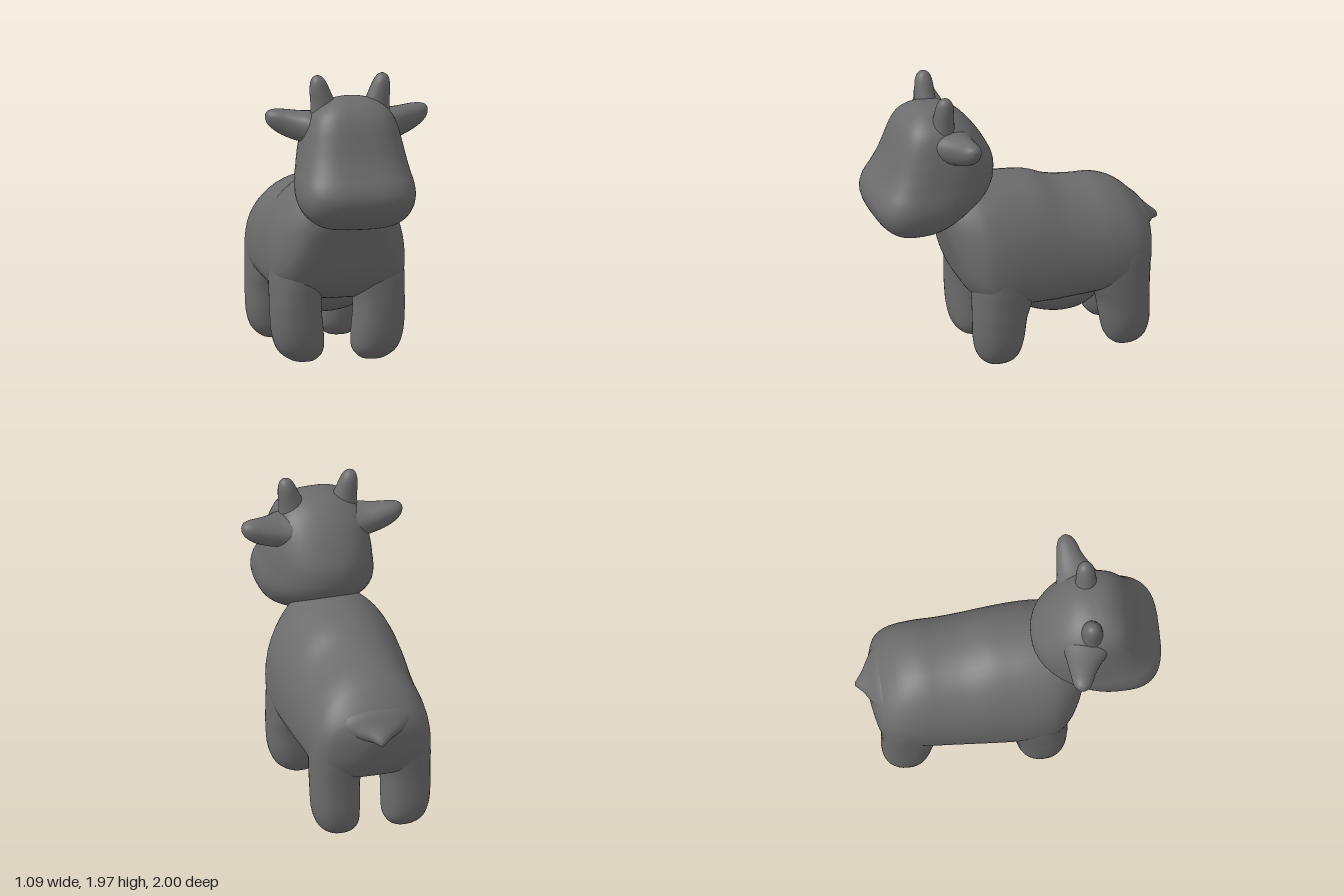
import * as THREE from 'three';

const material = new THREE.MeshStandardMaterial({ color: 0x6c6c6c });

// Smooth interpolation of one number between b and c
function blend(a, b, c, d, t) {
  return b + 0.5 * t * (c - a + t * (2 * a - 5 * b + 4 * c - d + t * (3 * (b - c) + d - a)));
}

// Closed smooth loft. Each row: [s, uLow, uMid, uHigh, vCentre, vHalfWidth].
// axes names the world axes of s, u and v; nLow / nHigh square off each half of the section.
function loft(name, axes, rows, { nLow = 2, nHigh = 2, side = 1, segs = 32, steps = 4 } = {}) {
  const rings = [];
  const last = rows.length - 1;
  for (let i = 0; i < last; i++) {
    const a = rows[Math.max(i - 1, 0)], b = rows[i], c = rows[i + 1], d = rows[Math.min(i + 2, last)];
    for (let k = 0; k < steps; k++) rings.push(b.map((_, j) => blend(a[j], b[j], c[j], d[j], k / steps)));
  }
  rings.push(rows[last]);

  const points = [];
  const put = (s, u, v) => {
    const p = new THREE.Vector3();
    p[axes[0]] = s; p[axes[1]] = u; p[axes[2]] = v;
    p.x *= side;
    points.push(p);
  };
  for (const [s, lo, mid, hi, vc, w] of rings) {
    for (let j = 0; j < segs; j++) {
      const angle = (j / segs) * Math.PI * 2;
      const sn = Math.sin(angle), cs = Math.cos(angle);
      const e = 2 / (sn < 0 ? nLow : nHigh);
      const u = Math.abs(sn) ** e;
      put(s, sn < 0 ? mid - (mid - lo) * u : mid + (hi - mid) * u, vc + w * Math.sign(cs) * Math.abs(cs) ** e);
    }
  }
  const faces = [];
  for (let i = 0; i < rings.length - 1; i++) {
    for (let j = 0; j < segs; j++) {
      const a = i * segs + j, b = i * segs + (j + 1) % segs;
      faces.push([a, b, b + segs], [a, b + segs, a + segs]);
    }
  }
  // Close both ends
  const first = rows[0], end = rows[last], tail = (rings.length - 1) * segs;
  put(first[0], first[2], first[4]);
  put(end[0], end[2], end[4]);
  for (let j = 0; j < segs; j++) {
    const k = (j + 1) % segs;
    faces.push([points.length - 2, k, j], [points.length - 1, tail + j, tail + k]);
  }
  // Turn the faces outward if the enclosed volume is negative
  const cross = new THREE.Vector3();
  const volume = faces.reduce((sum, [a, b, c]) => sum + points[a].dot(cross.crossVectors(points[b], points[c])), 0);
  if (volume < 0) faces.forEach((f) => f.reverse());

  const geometry = new THREE.BufferGeometry().setFromPoints(points);
  geometry.setIndex(faces.flat());
  geometry.computeVertexNormals();
  const mesh = new THREE.Mesh(geometry, material);
  mesh.name = name;
  return mesh;
}

export function createModel() {
  const model = new THREE.Group();
  model.name = 'calf';

  // Torso from rump to chest, with straight flanks
  model.add(loft('body', 'zyx', [
    [-0.925, 0.74, 0.77, 0.81, 0, 0.05],
    [-0.905, 0.62, 0.74, 0.85, 0, 0.15],
    [-0.875, 0.52, 0.7, 0.905, 0, 0.265],
    [-0.84, 0.46, 0.68, 0.95, 0, 0.335],
    [-0.78, 0.43, 0.67, 1.01, 0, 0.38],
    [-0.7, 0.41, 0.66, 1.07, 0, 0.4],
    [-0.58, 0.4, 0.65, 1.115, 0, 0.41],
    [-0.44, 0.395, 0.64, 1.125, 0, 0.415],
    [-0.28, 0.39, 0.64, 1.15, 0, 0.425],
    [-0.13, 0.39, 0.64, 1.21, 0, 0.435],
    [0.02, 0.395, 0.65, 1.23, 0, 0.445],
    [0.16, 0.41, 0.66, 1.24, 0, 0.447],
    [0.28, 0.45, 0.68, 1.24, 0, 0.432],
    [0.36, 0.51, 0.73, 1.23, 0, 0.382],
    [0.42, 0.63, 0.81, 1.21, 0, 0.32],
    [0.47, 0.81, 0.94, 1.17, 0, 0.24],
    [0.51, 0.95, 1.02, 1.1, 0, 0.13],
  ], { nLow: 2.9, nHigh: 2.1, segs: 48 }));

  // Rounded belly hanging below the flanks
  model.add(loft('belly', 'zyx', [
    [0.09, 0.41, 0.45, 0.48, 0, 0.06],
    [0.02, 0.33, 0.46, 0.6, 0, 0.22],
    [-0.13, 0.27, 0.46, 0.6, 0, 0.32],
    [-0.28, 0.245, 0.46, 0.6, 0, 0.345],
    [-0.42, 0.27, 0.46, 0.6, 0, 0.32],
    [-0.54, 0.34, 0.46, 0.6, 0, 0.22],
    [-0.61, 0.42, 0.45, 0.48, 0, 0.06],
  ], { segs: 40 }));

  // Head, broad at the muzzle and flat across the face
  model.add(loft('head', 'yzx', [
    [0.98, 0.66, 0.73, 0.8, 0, 0.12],
    [1.0, 0.53, 0.71, 0.87, 0, 0.24],
    [1.05, 0.42, 0.7, 0.935, 0, 0.32],
    [1.12, 0.32, 0.69, 0.98, 0, 0.367],
    [1.2, 0.22, 0.68, 1.0, 0, 0.385],
    [1.28, 0.168, 0.65, 0.98, 0, 0.38],
    [1.36, 0.153, 0.6, 0.935, 0, 0.362],
    [1.45, 0.163, 0.55, 0.89, 0, 0.345],
    [1.55, 0.21, 0.52, 0.853, 0, 0.325],
    [1.65, 0.275, 0.52, 0.817, 0, 0.298],
    [1.73, 0.345, 0.54, 0.775, 0, 0.255],
    [1.79, 0.42, 0.56, 0.715, 0, 0.18],
    [1.82, 0.49, 0.58, 0.66, 0, 0.1],
    [1.83, 0.55, 0.58, 0.61, 0, 0.03],
  ], { nLow: 2.2, nHigh: 3.2, segs: 48 }));

  // Short tail flowing out of a wide root
  model.add(loft('tail', 'zyx', [
    [-1.0, 0.755, 0.77, 0.785, 0, 0.012],
    [-0.985, 0.75, 0.78, 0.805, 0, 0.03],
    [-0.95, 0.755, 0.8, 0.835, 0, 0.075],
    [-0.91, 0.75, 0.82, 0.875, 0, 0.145],
    [-0.86, 0.74, 0.84, 0.935, 0, 0.22],
    [-0.8, 0.78, 0.88, 0.97, 0, 0.25],
  ]));

  for (const [label, side] of [['left', 1], ['right', -1]]) {
    model.add(loft(label + 'FrontLeg', 'yzx', [
      [0.005, 0.16, 0.19, 0.22, 0.23, 0.03],
      [0.02, 0.11, 0.19, 0.27, 0.233, 0.085],
      [0.08, 0.055, 0.19, 0.325, 0.248, 0.148],
      [0.19, 0.025, 0.19, 0.352, 0.267, 0.17],
      [0.35, 0.005, 0.19, 0.362, 0.28, 0.168],
      [0.45, -0.03, 0.18, 0.365, 0.278, 0.17],
      [0.58, -0.06, 0.17, 0.365, 0.262, 0.186],
      [0.72, -0.03, 0.17, 0.35, 0.25, 0.185],
      [0.86, 0.04, 0.17, 0.3, 0.22, 0.16],
      [0.97, 0.12, 0.17, 0.22, 0.2, 0.06],
    ], { side, nLow: 2.3, nHigh: 2.3 }));

    model.add(loft(label + 'HindLeg', 'yzx', [
      [0.005, -0.72, -0.69, -0.66, 0.215, 0.03],
      [0.02, -0.77, -0.69, -0.61, 0.215, 0.085],
      [0.08, -0.83, -0.69, -0.56, 0.225, 0.138],
      [0.19, -0.855, -0.69, -0.53, 0.237, 0.158],
      [0.35, -0.855, -0.69, -0.5, 0.24, 0.162],
      [0.45, -0.857, -0.69, -0.46, 0.237, 0.166],
      [0.58, -0.865, -0.69, -0.43, 0.225, 0.178],
      [0.72, -0.865, -0.68, -0.45, 0.215, 0.18],
      [0.86, -0.82, -0.67, -0.52, 0.19, 0.15],
      [0.96, -0.72, -0.66, -0.6, 0.18, 0.06],
    ], { side, nLow: 2.3, nHigh: 2.3 }));

    // Ears stick out sideways and taper to a blunt tip
    model.add(loft(label + 'Ear', 'xyz', [
      [0.2, 1.5, 1.62, 1.73, 0.5, 0.16],
      [0.28, 1.515, 1.63, 1.73, 0.495, 0.14],
      [0.34, 1.53, 1.645, 1.732, 0.475, 0.113],
      [0.42, 1.56, 1.665, 1.74, 0.455, 0.083],
      [0.48, 1.595, 1.68, 1.742, 0.447, 0.068],
      [0.525, 1.635, 1.69, 1.732, 0.443, 0.045],
      [0.544, 1.67, 1.69, 1.71, 0.442, 0.015],
    ], { side, segs: 24 }));

    model.add(loft(label + 'Horn', 'yzx', [
      [1.68, 0.45, 0.54, 0.63, 0.165, 0.1],
      [1.77, 0.468, 0.54, 0.612, 0.178, 0.086],
      [1.86, 0.477, 0.54, 0.603, 0.2, 0.07],
      [1.92, 0.486, 0.54, 0.594, 0.212, 0.054],
      [1.955, 0.506, 0.54, 0.574, 0.217, 0.035],
      [1.97, 0.53, 0.54, 0.55, 0.218, 0.01],
    ], { side, segs: 20 }));
  }
  return model;
}
